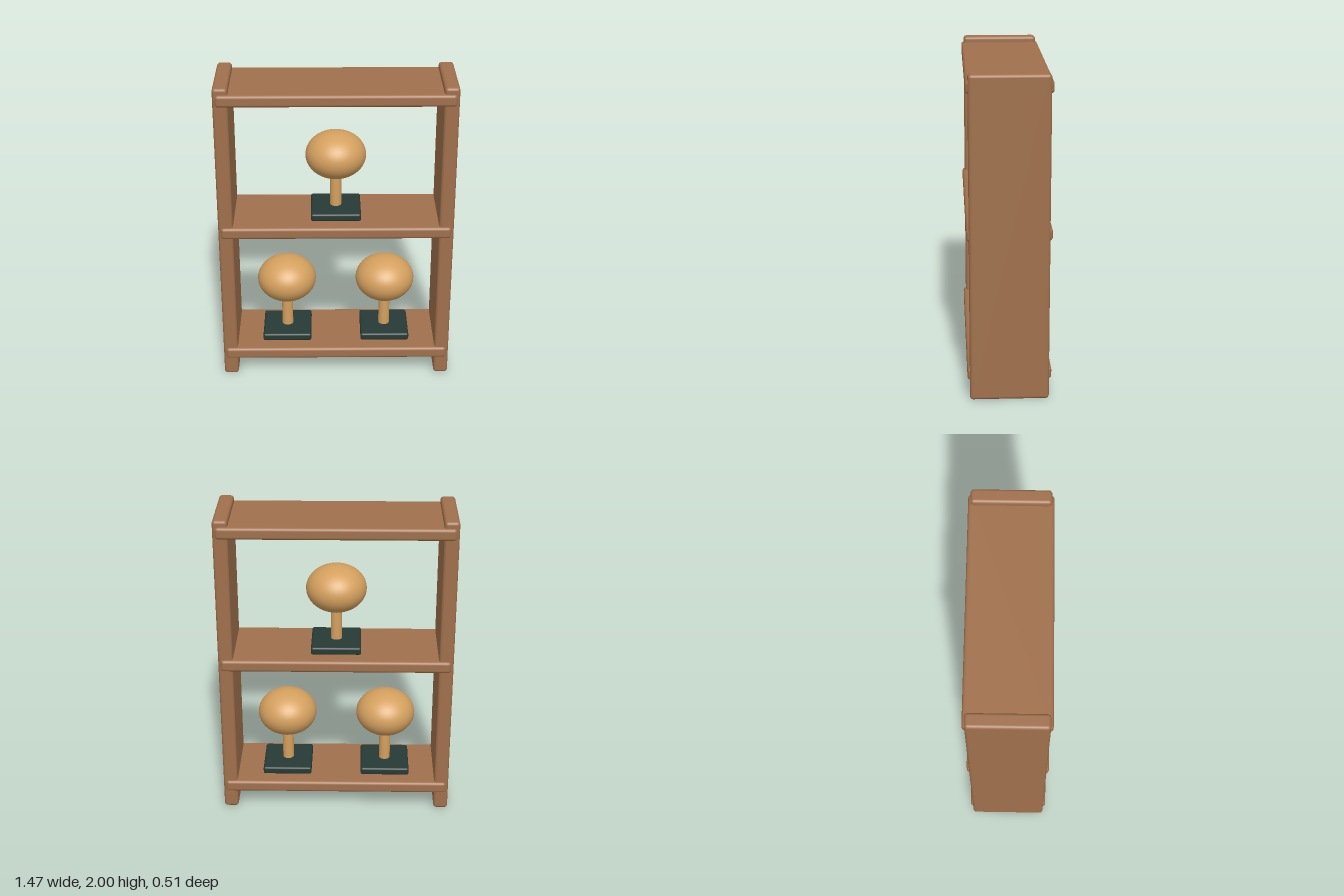
import * as THREE from 'three';
import { RoundedBoxGeometry } from 'three/addons/geometries/RoundedBoxGeometry.js';

const wood = new THREE.MeshStandardMaterial({ color: 0xa0704c });
const paleWood = new THREE.MeshStandardMaterial({ color: 0xd4a05e });
const darkGreen = new THREE.MeshStandardMaterial({ color: 0x263a35 });

function part(name, geometry, material, x, y, z = 0) {
  const mesh = new THREE.Mesh(geometry, material);
  mesh.name = name;
  mesh.position.set(x, y, z);
  return mesh;
}

// Display stand: square base, round post and flattened ball head
function displayStand(name, x, y) {
  const stand = new THREE.Group();
  stand.name = name;
  stand.position.set(x, y, 0);
  const head = part('head', new THREE.SphereGeometry(0.19, 40, 28), paleWood, 0, 0.395);
  head.scale.y = 0.15 / 0.19;
  stand.add(
    part('base', new RoundedBoxGeometry(0.316, 0.05, 0.316, 4, 0.014), darkGreen, 0, 0.025),
    part('post', new THREE.CylinderGeometry(0.036, 0.036, 0.24, 28), paleWood, 0, 0.16),
    head
  );
  return stand;
}

export function createModel() {
  const model = new THREE.Group();
  model.name = 'shelfUnit';

  // Upright side panels
  for (const [name, s] of [['leftPanel', 1], ['rightPanel', -1]]) {
    model.add(part(name, new RoundedBoxGeometry(0.092, 2, 0.48, 4, 0.02), wood, s * 0.689, 1));
  }

  // Shelves, slightly deeper than the panels
  const shelves = { bottomShelf: 0.162, middleShelf: 1.043, topShelf: 1.923 };
  for (const [name, y] of Object.entries(shelves)) {
    model.add(part(name, new RoundedBoxGeometry(1.438, 0.076, 0.51, 4, 0.02), wood, 0, y));
  }

  // Stands: two below, one above
  model.add(
    displayStand('lowerLeftStand', 0.32, 0.2),
    displayStand('lowerRightStand', -0.32, 0.2),
    displayStand('upperStand', 0, 1.081)
  );
  return model;
}
